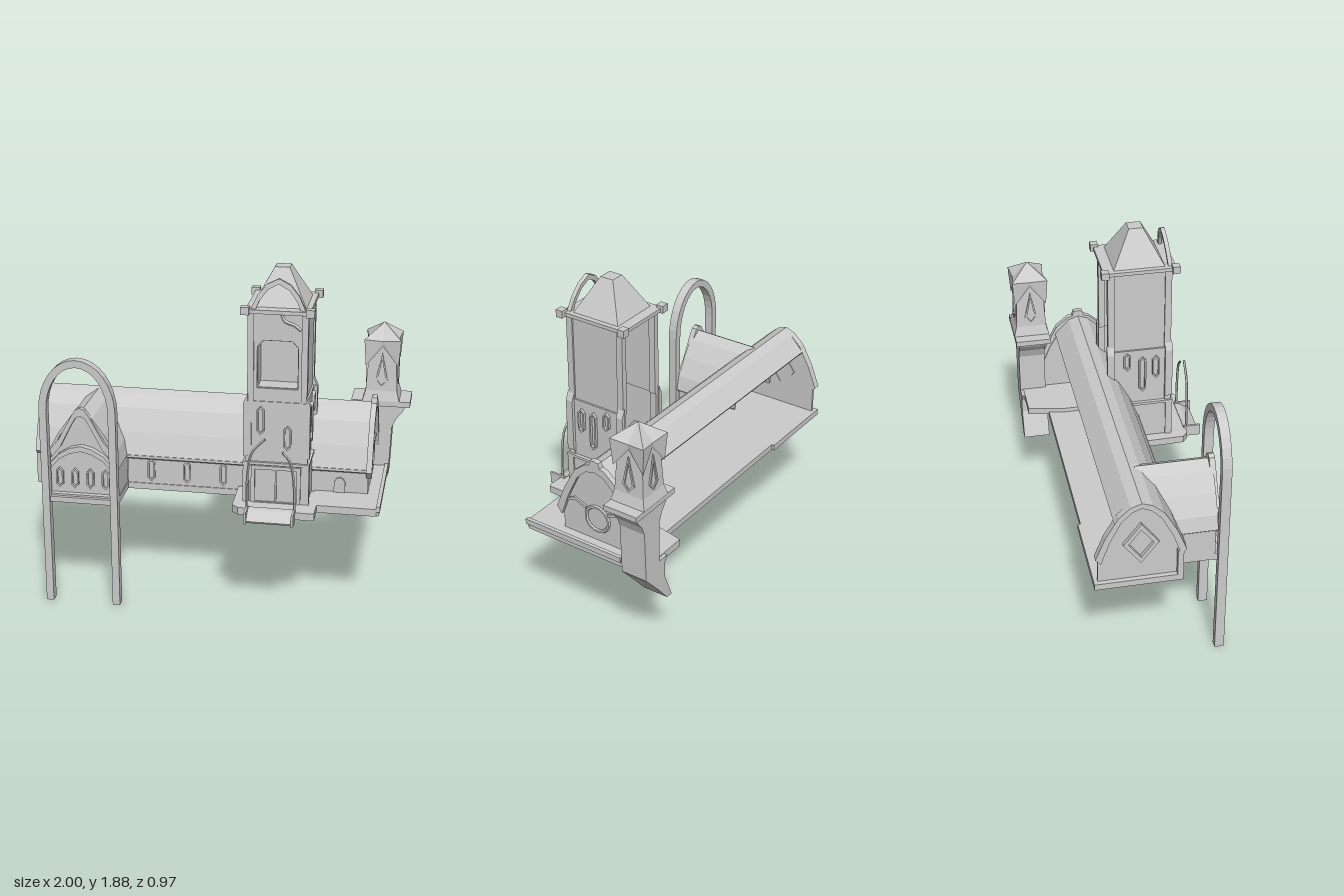
import * as THREE from 'three';

const mat = new THREE.MeshStandardMaterial({ color: 0xcccccc, side: THREE.DoubleSide, flatShading: true });

export function createModel() {
  const root = new THREE.Group();
  const add = (name, geo, x = 0, y = 0, z = 0) => {
    const m = new THREE.Mesh(geo, mat);
    m.name = name;
    m.position.set(x, y, z);
    root.add(m);
    return m;
  };
  // box given by its limits
  const box = (name, x0, x1, y0, y1, z0, z1) =>
    add(name, new THREE.BoxGeometry(x1 - x0, y1 - y0, z1 - z0), (x0 + x1) / 2, (y0 + y1) / 2, (z0 + z1) / 2);
  const vec = (pts) => pts.map(([a, b]) => new THREE.Vector2(a, b));
  const extrude = (pts, depth, hole) => {
    const s = new THREE.Shape(vec(pts));
    if (hole) s.holes.push(new THREE.Path(vec(hole)));
    return new THREE.ExtrudeGeometry(s, { depth, bevelEnabled: false });
  };
  // outline in x,y pushed along z
  const alongZ = (name, pts, z0, z1, hole) => add(name, extrude(pts, z1 - z0, hole), 0, 0, z0);
  // outline in z,y pushed along x
  const flip = (pts) => pts && pts.map(([z, y]) => [-z, y]);
  const alongX = (name, pts, x0, x1, hole) =>
    add(name, extrude(flip(pts), x1 - x0, flip(hole)).rotateY(Math.PI / 2), x0, 0, 0);
  // plan in x,z with a top and bottom height
  const plan = (name, pts, y0, y1) => add(name, extrude(pts, y1 - y0).rotateX(Math.PI / 2), 0, y1, 0);
  // half profile of [half width, height] mirrored about a centre
  const mirror = (c, half) => [
    ...half.map(([w, y]) => [c - w, y]),
    ...half.slice().reverse().filter(([w]) => w > 0).map(([w, y]) => [c + w, y])];
  // band under an open profile
  const band = (pts, t, c = 0, squeeze = 0.93) =>
    [...pts, ...pts.slice().reverse().map(([a, y]) => [c + (a - c) * squeeze, y - t])];
  const hex = (c, y0, y1, w) => {
    const k = w * 1.1;
    return [[c, y0], [c + w, y0 + k], [c + w, y1 - k], [c, y1], [c - w, y1 - k], [c - w, y0 + k]];
  };
  const hexFrame = (put, c, y0, y1, d0, d1, w = 0.02) =>
    put('windowFrame', hex(c, y0, y1, w), d0, d1, hex(c, y0 + 0.012, y1 - 0.012, w - 0.008));
  const tube = (name, pts, r, z) => add(name, new THREE.TubeGeometry(
    new THREE.CatmullRomCurve3(pts.map(([x, y]) => new THREE.Vector3(x, y, z))), 24, r, 5));

  // floor and terrace
  plan('floor', [[-1, -0.34], [-0.51, -0.34], [-0.51, -0.325], [0.56, -0.325], [0.56, 0.11],
    [-0.49, 0.11], [-0.49, 0.33], [-0.88, 0.33], [-0.88, 0.11], [-1, 0.11]], 0.585, 0.62);
  plan('terrace', [[0.53, -0.24], [0.57, -0.44], [0.87, -0.44], [0.885, -0.42], [0.885, 0.29], [0.87, 0.305],
    [0.56, 0.305], [0.56, 0.41], [0.54, 0.42], [0.16, 0.4], [0.125, 0.37], [0.12, 0.12], [0.53, 0.12]], 0.605, 0.645);
  box('terraceLip', 0.87, 0.89, 0.63, 0.66, -0.3, 0.305);

  // hall, open at the back
  const C = -0.105;
  const gable = mirror(C, [[0.215, 0.6], [0.215, 0.79], [0.17, 0.9], [0.11, 1.0], [0.05, 1.06], [0, 1.08]]);
  const arc = mirror(C, [[0.23, 0.775], [0.18, 0.9], [0.115, 1.015], [0.055, 1.07], [0, 1.09]]);
  const roofLine = [[0.125, 0.775], [0.075, 0.9], [0.01, 1.015], [-0.05, 1.07], [-0.105, 1.09],
    [-0.16, 1.07], [-0.24, 0.985]];
  alongX('hallRoof', band(roofLine, 0.015, C), -1, 0.82);
  alongX('leftGable', gable, -0.975, -0.96);
  alongX('rightGable', gable, 0.795, 0.81);
  alongX('leftGableTrim', band(arc, 0.03, C, 0.88), -1, -0.96);
  alongX('rightGableTrim', band(mirror(C, [[0.245, 0.775], [0.19, 0.91], [0.125, 1.03], [0.06, 1.085], [0, 1.1]]),
    0.04, C, 0.88), 0.8, 0.83);
  alongX('gableFinial', mirror(C, [[0.04, 1.07], [0.025, 1.12], [0, 1.125]]), 0.8, 0.83);
  const diamond = (r) => [[C - r * 0.75, 0.84], [C, 0.84 - r], [C + r * 0.75, 0.84], [C, 0.84 + r]];
  alongX('diamondWindow', diamond(0.12), -0.995, -0.955, diamond(0.085));
  const ring = add('roundWindow', new THREE.TorusGeometry(0.07, 0.01, 6, 24), 0.812, 0.775, C);
  ring.rotation.y = Math.PI / 2;
  for (const s of [-1, 1])
    alongX('gableRib', [[C + s * 0.2, 0.83], [C + s * 0.14, 0.86], [C + s * 0.065, 0.83],
      [C + s * 0.07, 0.815], [C + s * 0.14, 0.845], [C + s * 0.2, 0.815]], 0.81, 0.82);
  for (const [a, b] of [[-0.975, -0.88], [-0.49, 0.19], [0.5, 0.81]]) {
    box('hallFrontWall', a, b, 0.6, 0.79, 0.09, 0.105);
    box('hallEave', a, b, 0.77, 0.785, 0.09, 0.125);
  }
  for (const x of [-0.36, -0.165, 0.035]) hexFrame(alongZ, x, 0.635, 0.765, 0.075, 0.115);
  alongZ('sideDoor', mirror(0.66, [[0.03, 0.645], [0.03, 0.7], [0.018, 0.722], [0, 0.73]]), 0.1, 0.115);
  box('leftCornerPost', -1, -0.975, 0.62, 0.77, 0.08, 0.11);

  // front wing with a vaulted roof
  const W = -0.69;
  const vault = mirror(W, [[0.2, 0.78], [0.18, 0.86], [0.125, 0.96], [0.06, 1.05], [0, 1.085]]);
  alongZ('wingRoof', band(vault, 0.015, W), -0.08, 0.31);
  alongZ('wingFront', mirror(W, [[0.19, 0.6], [0.19, 0.78], [0.17, 0.86], [0.115, 0.96], [0.05, 1.04], [0, 1.07]]), 0.285, 0.3);
  for (const s of [-1, 1]) {
    const x = W + s * 0.187;
    box('wingSideWall', x - 0.008, x + 0.008, 0.6, 0.8, 0.09, 0.3);
  }
  alongZ('wingArchBand', band(mirror(W, [[0.165, 0.8], [0.12, 0.85], [0.06, 0.885], [0, 0.9]]), 0.03, W, 1), 0.295, 0.335);
  alongZ('wingChevron', band(mirror(W, [[0.17, 0.87], [0.12, 0.93], [0.05, 1.06], [0.025, 1.1], [0, 1.11]]), 0.045, W, 0.95), 0.295, 0.325);
  box('wingSill', -0.88, -0.5, 0.58, 0.61, 0.29, 0.35);
  for (const d of [-0.125, -0.042, 0.042, 0.125]) hexFrame(alongZ, W + d, 0.65, 0.765, 0.295, 0.315);

  // tall free-standing arch
  const leg = (w, top) => {
    const pts = [[w, 0], [w, 1.1]];
    for (let i = 1; i <= 8; i++) {
      const t = (i / 8) * Math.PI / 2;
      pts.push([i === 8 ? 0 : w * Math.cos(t), 1.1 + (top - 1.1) * Math.sin(t)]);
    }
    return mirror(W + -0.005, pts);
  };
  alongZ('tallArch', [...leg(0.205, 1.385), ...leg(0.165, 1.345).reverse()], 0.315, 0.365);

  // tower: front and side walls, open at the back
  const T = 0.345;
  const walls = (name, w, y0, y1, z0, z1) => {
    box(name + 'Front', T - w, T + w, y0, y1, z1 - 0.015, z1);
    for (const s of [-1, 1]) {
      const x = T + s * (w - 0.008);
      box(name + 'Side', x - 0.008, x + 0.008, y0, y1, z0, z1);
      for (const z of [z0 + 0.015, z1 - 0.012])
        box(name + 'CornerPost', x - 0.016, x + 0.016, y0, y1, z - 0.018, z + 0.018);
    }
  };
  walls('towerBase', 0.165, 0.62, 0.86, -0.04, 0.305);
  walls('towerMiddle', 0.155, 0.86, 1.2, -0.04, 0.3);
  for (const s of [-1, 1]) {
    const x = T + s * 0.16;
    box('towerBand', x - 0.014, x + 0.014, 0.855, 0.87, -0.045, 0.315);
    alongZ('towerShoulder', [[T + s * 0.15, 1.24], [T + s * 0.173, 1.19], [T + s * 0.173, 0.9], [T + s * 0.15, 0.9]], 0.27, 0.31);
    alongZ('towerShoulder', [[T + s * 0.15, 1.24], [T + s * 0.173, 1.19], [T + s * 0.173, 0.9], [T + s * 0.15, 0.9]], -0.05, -0.01);
    for (const [z, a, b] of [[0.22, 1.02, 1.16], [0.145, 0.94, 1.16], [0.06, 1.08, 1.19]])
      hexFrame(alongX, z, a, b, T + s * 0.155 - 0.015, T + s * 0.155 + 0.015);
  }
  box('towerFrontBand', T - 0.17, T + 0.17, 0.855, 0.87, 0.29, 0.315);
  hexFrame(alongZ, 0.262, 1.02, 1.175, 0.295, 0.315);
  hexFrame(alongZ, 0.402, 0.94, 1.075, 0.295, 0.315);
  // belfry with a recessed front niche
  const niche = [[0.24, 1.27], [0.45, 1.27], [0.45, 1.49], [0.42, 1.525], [0.27, 1.525], [0.24, 1.49]];
  alongZ('belfryFront', [[0.2, 1.2], [0.49, 1.2], [0.49, 1.675], [0.2, 1.675]], 0.28, 0.295, niche);
  alongZ('nicheLining', niche, 0.18, 0.285, niche.map(([x, y]) => [T + (x - T) * 0.97, 1.4 + (y - 1.4) * 0.97]));
  alongZ('nicheBack', niche, 0.175, 0.185);
  for (const s of [-1, 1]) {
    const x = T + s * 0.138;
    box('belfrySide', x - 0.007, x + 0.007, 1.2, 1.675, -0.035, 0.295);
    for (const z of [-0.025, 0.285]) box('belfryPost', x - 0.016, x + 0.016, 1.2, 1.675, z - 0.018, z + 0.018);
  }
  tube('curvedBrace', [[0.36, 1.665], [0.38, 1.63], [0.43, 1.61], [0.46, 1.585]], 0.01, 0.297);
  // cornice, corner horns and spire
  box('cornice', T - 0.165, T + 0.165, 1.67, 1.69, -0.065, 0.325);
  for (const s of [-1, 1]) for (const z of [-0.06, 0.32])
    box('corniceHorn', T + s * 0.165 - 0.022, T + s * 0.165 + 0.022, 1.665, 1.705, z - 0.02, z + 0.02);
  const spire = new THREE.CylinderGeometry(0.038 * Math.SQRT2, 0.14 * Math.SQRT2, 0.19, 4).rotateY(Math.PI / 4);
  add('spire', spire, T, 1.78, 0.13);
  const hood = add('spireArch', extrude(band(mirror(0, [[0.14, 0], [0.105, 0.075], [0.06, 0.13], [0, 0.16]]), 0.028, 0, 0.9), 0.022), T, 1.685, 0.285);
  hood.rotation.x = -0.1;

  // entrance
  alongZ('entranceFrame', [[0.215, 0.645], [0.215, 0.85], [0.475, 0.85], [0.475, 0.645]], 0.3, 0.315,
    [[0.235, 0.65], [0.235, 0.83], [0.455, 0.83], [0.455, 0.65]]);
  box('doorSplit', T - 0.004, T + 0.004, 0.645, 0.83, 0.3, 0.313);
  tube('entranceArch', [[0.21, 0.62], [0.213, 0.85], [0.235, 0.96], [0.3, 1.035]], 0.007, 0.405);
  tube('entranceArch', [[0.39, 0.97], [0.43, 0.92], [0.45, 0.82], [0.458, 0.62]], 0.007, 0.405);
  alongX('entranceStep', [[0.39, 0.65], [0.42, 0.645], [0.48, 0.605], [0.475, 0.595], [0.39, 0.63]], 0.21, 0.455);
  for (const x of [0.21, 0.455]) box('stepRail', x - 0.006, x + 0.006, 0.59, 0.655, 0.39, 0.485);

  // corner turret on a curved bracket
  const X = 0.835, Z = -0.383;
  alongZ('turretBracket', [[0.67, 0.375], [0.71, 0.375], [0.78, 0.46], [0.89, 0.585], [0.9, 0.87], [0.92, 0.92],
    [0.955, 0.965], [0.975, 1.01], [0.7, 1.01], [0.72, 0.965], [0.755, 0.92], [0.775, 0.87], [0.775, 0.64],
    [0.71, 0.64], [0.73, 0.6], [0.73, 0.52]], -0.458, -0.31);
  box('turretSlab', 0.675, 0.995, 1.0, 1.03, -0.48, -0.285);
  const square = (name, top, bottom, y0, y1) =>
    add(name, new THREE.CylinderGeometry(top * Math.SQRT2, bottom * Math.SQRT2, y1 - y0, 4).rotateY(Math.PI / 4), X, (y0 + y1) / 2, Z);
  square('turretFoot', 0.085, 0.1, 1.03, 1.085);
  square('turretBody', 0.07, 0.085, 1.085, 1.36);
  const roof = [];
  for (let i = 0; i < 4; i++) {
    const at = (r, y, k) => {
      const a = (i + k) * Math.PI / 2;
      return [r * Math.cos(a), y, r * Math.sin(a)];
    };
    const peak = [0, 1.452, 0], mid = at(0.085, 1.365, 0), inner = at(0.08, 1.335, 0);
    for (const k of [-0.5, 0.5]) {
      const tip = at(0.14, 1.375, k), low = at(0.125, 1.225, k);
      roof.push(...(k > 0 ? [peak, tip, mid, mid, tip, low, mid, low, inner]
        : [peak, mid, tip, mid, low, tip, mid, inner, low]));
    }
    const win = new THREE.Mesh(extrude([[0, 1.1], [0.035, 1.14], [0, 1.3], [-0.035, 1.14]], 0.008,
      [[0, 1.115], [0.023, 1.143], [0, 1.265], [-0.023, 1.143]]), mat);
    win.name = 'turretWindow';
    win.geometry.translate(0, 0, 0.081);
    win.rotation.y = i * Math.PI / 2;
    win.position.set(X, 0, Z);
    root.add(win);
  }
  const roofGeo = new THREE.BufferGeometry();
  roofGeo.setAttribute('position', new THREE.Float32BufferAttribute(roof.flat(), 3));
  roofGeo.computeVertexNormals();
  add('turretRoof', roofGeo, X, 0, Z);

  return root;
}
